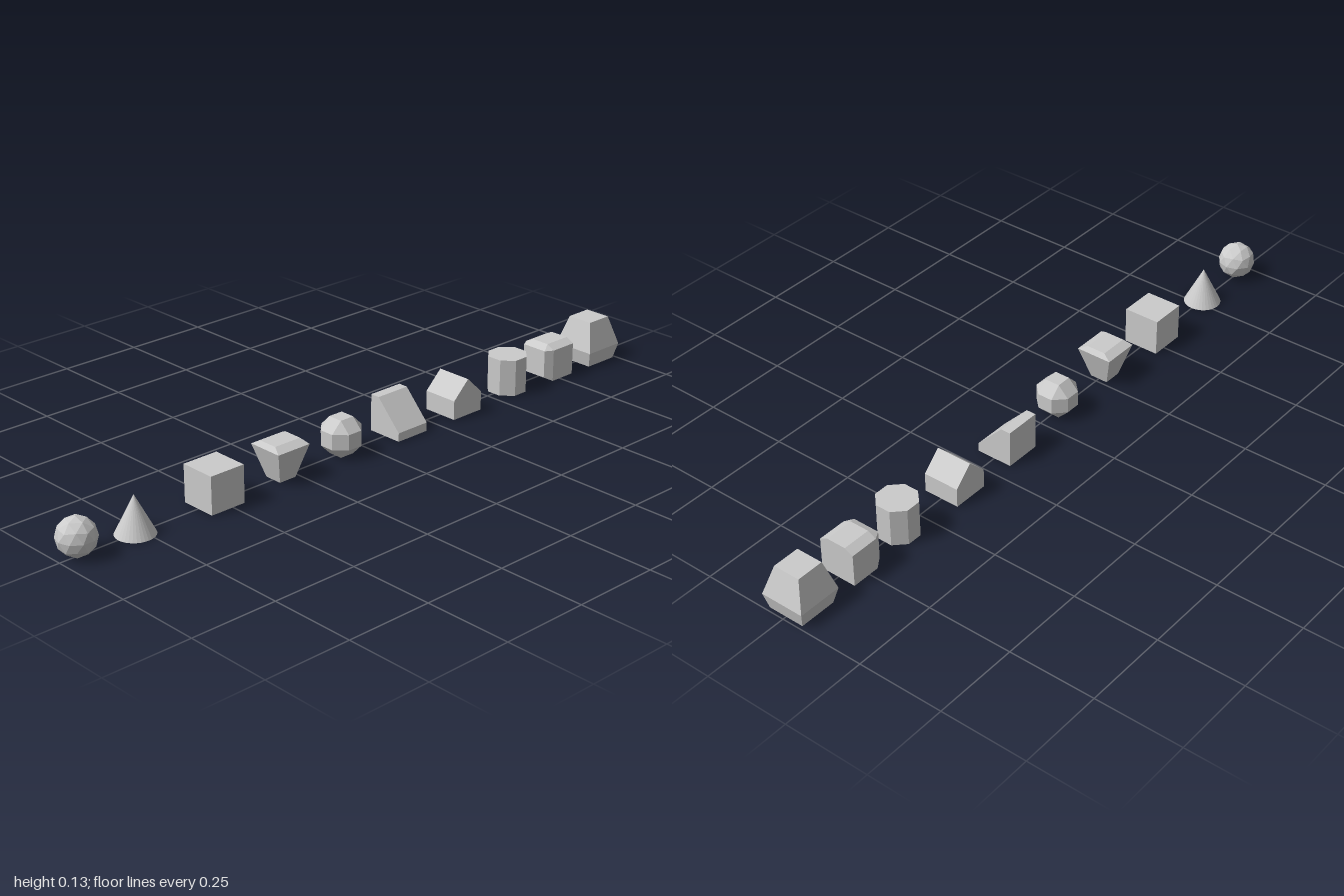
import * as THREE from 'three';
import { ConvexGeometry } from 'three/addons/geometries/ConvexGeometry.js';

const R = 0.054; // half size shared by most solids

// Convex solid from rectangular sections [y, halfX, halfZ]
function stacked(sections) {
  const pts = [];
  for (const [y, hx, hz] of sections)
    for (const sx of [-1, 1]) for (const sz of [-1, 1])
      pts.push(new THREE.Vector3(sx * hx, y, sz * hz));
  return new ConvexGeometry(pts);
}

// Prism from an outline in x,y, centred along z
function prism(outline) {
  const shape = new THREE.Shape(outline.map(([x, y]) => new THREE.Vector2(x, y)));
  return new THREE.ExtrudeGeometry(shape, { depth: 2 * R, bevelEnabled: false }).translate(0, 0, -R);
}

// Ball with 18 square and 8 triangular faces
function facetedBall() {
  const a = R * (Math.SQRT2 - 1), pts = [];
  for (const sx of [-1, 1]) for (const sy of [-1, 1]) for (const sz of [-1, 1])
    for (let k = 0; k < 3; k++) {
      const d = [a, a, a];
      d[k] = R;
      pts.push(new THREE.Vector3(sx * d[0], sy * d[1] + R, sz * d[2]));
    }
  return new ConvexGeometry(pts);
}

// Cube with bevelled upper sides and a bevelled front panel
function bevelledCube() {
  const pts = [];
  for (const s of [-1, 1]) {
    for (const z of [-R, 0.03])
      for (const [x, y] of [[R, 0], [R, 0.095], [0.029, 2 * R]])
        pts.push(new THREE.Vector3(s * x, y, z));
    for (const y of [0.013, 0.095]) pts.push(new THREE.Vector3(s * 0.04, y, R));
  }
  return new ConvexGeometry(pts);
}

export function createModel() {
  const group = new THREE.Group();
  const material = new THREE.MeshStandardMaterial({ color: 0xcccccc, flatShading: true });
  const add = (name, geometry, z) => {
    const mesh = new THREE.Mesh(geometry, material);
    mesh.name = name;
    mesh.position.z = z;
    group.add(mesh);
  };

  // Round solids at the front of the row
  add('icosphere', new THREE.IcosahedronGeometry(R, 1)
    .rotateZ(-Math.atan(2 / (1 + Math.sqrt(5)))).translate(0, R, 0), 0.946);
  add('cone', new THREE.ConeGeometry(R, 2 * R, 32).translate(0, R, 0), 0.77);

  // Cube and a tapered block with a bevelled top
  add('cube', new THREE.BoxGeometry(2 * R, 2 * R, 2 * R).translate(0, R, 0), 0.515);
  add('invertedPyramid', stacked([[0, 0.027, 0.027], [0.095, R, R], [2 * R, 0.029, 0.043]]), 0.29);

  add('facetedBall', facetedBall(), 0.073);

  // Sloped block falls toward +x; the gable's ridge runs along x
  add('slopedBlock', prism([[-R, 0], [R, 0], [R, 0.025], [-0.025, 2 * R], [-R, 2 * R]]), -0.144);
  add('gableBlock', prism([[-R, 0], [R, 0], [R, 0.056], [0, 2 * R], [-R, 0.056]])
    .rotateY(Math.PI / 2), -0.36);

  // Octagonal column with flat sides on the axes
  add('octagonalColumn', new THREE.CylinderGeometry(R / Math.cos(Math.PI / 8), R / Math.cos(Math.PI / 8), 2 * R, 8)
    .rotateY(Math.PI / 8).translate(0, R, 0), -0.58);

  add('bevelledCube', bevelledCube(), -0.75);

  // Larger tapered block with its widest point low down
  add('taperedBlock', stacked([[0, R, R], [0.046, 0.065, 0.065], [0.131, 0.04, 0.04]]), -0.935);

  return group;
}
